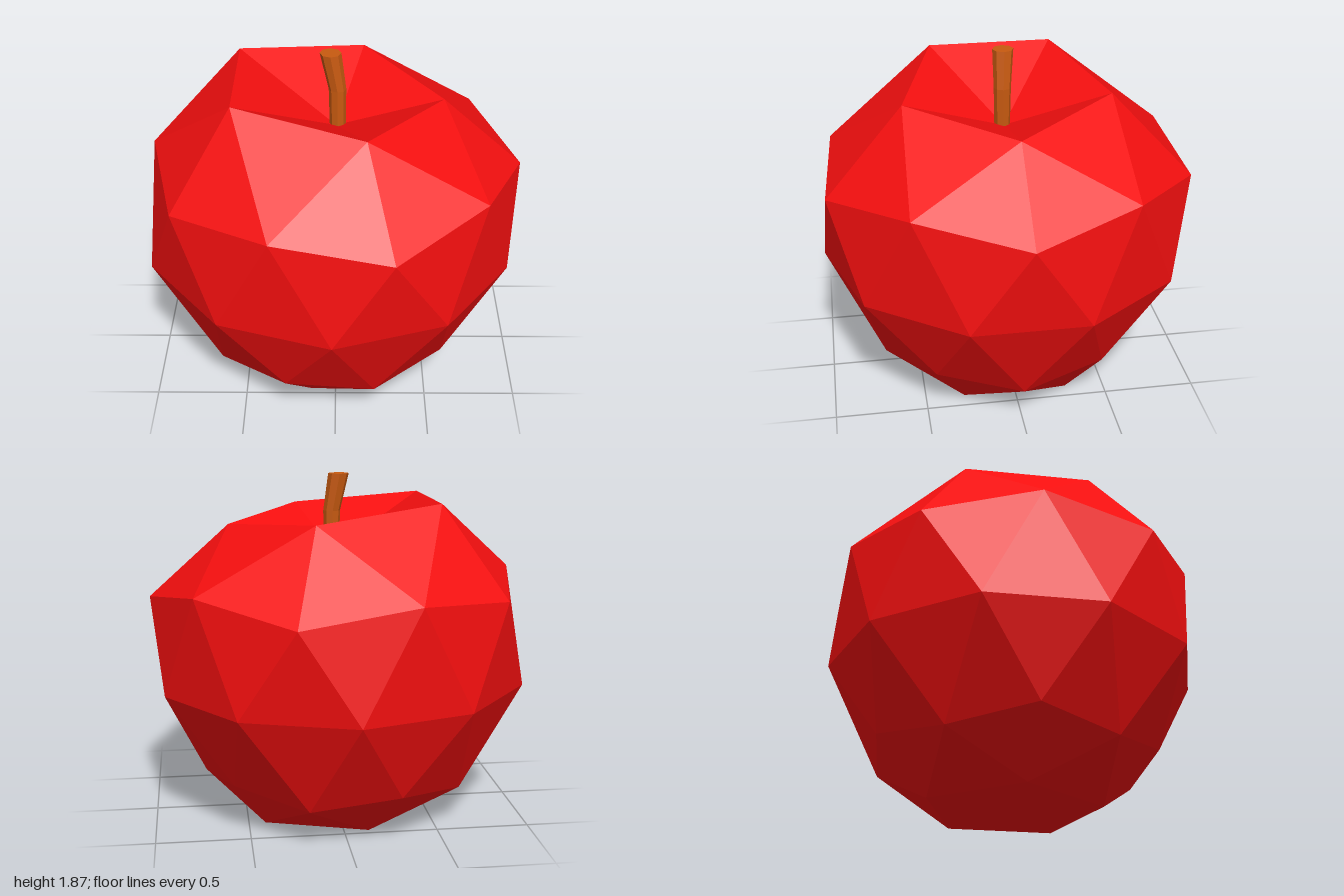
import * as THREE from 'three';

// Completes a ring from its +z half by mirroring across z = 0
const ring = (half) => half.concat(
  half.filter((p) => p[2] !== 0).reverse().map(([x, y, z]) => [x, y, -z]));

// Low-poly fruit: rings of 5, 10, 10, 10, 5 points between two dented poles
function fruitGeometry() {
  const top = [0, 1.45, 0], bottom = [0, 0.12, 0];
  const rim = ring([[0.57, 1.605, 0], [0.155, 1.66, 0.55], [-0.525, 1.735, 0.34]]);
  const upper = ring([[1, 1.22, 0], [0.77, 1.31, 0.57], [0.29, 1.22, 0.97],
    [-0.32, 1.31, 0.925], [-0.83, 1.26, 0.595], [-0.975, 1.35, 0]]);
  const middle = ring([[0.93, 0.74, 0.31], [0.572, 0.74, 0.81], [-0.016, 0.74, 1],
    [-0.605, 0.74, 0.81], [-1, 0.74, 0.31]]);
  const lower = ring([[0.72, 0.22, 0], [0.58, 0.28, 0.45], [0.209, 0.21, 0.7],
    [-0.265, 0.28, 0.735], [-0.63, 0.21, 0.43], [-0.83, 0.28, 0]]);
  const base = ring([[0.41, 0, 0.286], [-0.134, 0, 0.462], [-0.47, 0, 0]]);

  const pos = [];
  const tri = (...corners) => corners.forEach((p) => pos.push(...p));
  const at = (r, i) => r[(i + r.length) % r.length];

  for (let k = 0; k < 5; k++) {
    const r0 = rim[k], r1 = at(rim, k + 1);
    const b0 = base[k], b1 = at(base, k + 1);
    // Hollow and shoulder
    tri(top, r1, r0);
    tri(r0, r1, at(upper, 2 * k + 1));
    tri(r0, at(upper, 2 * k + 1), at(upper, 2 * k));
    tri(r0, at(upper, 2 * k), at(upper, 2 * k - 1));
    // Underside
    tri(b0, at(lower, 2 * k), at(lower, 2 * k + 1));
    tri(b0, at(lower, 2 * k + 1), at(lower, 2 * k + 2));
    tri(b0, at(lower, 2 * k + 2), b1);
    tri(bottom, b0, b1);
  }
  // Zigzag bands above and below the widest ring
  for (let j = 0; j < 10; j++) {
    tri(upper[j], at(upper, j + 1), middle[j]);
    tri(upper[j], middle[j], at(middle, j - 1));
    tri(at(middle, j - 1), middle[j], lower[j]);
    tri(middle[j], at(lower, j + 1), lower[j]);
  }

  const geometry = new THREE.BufferGeometry();
  geometry.setAttribute('position', new THREE.Float32BufferAttribute(pos, 3));
  geometry.computeVertexNormals();
  return geometry;
}

// Stem: eight-sided rod with a slight bend halfway up
function stemGeometry() {
  const sections = [
    { x: 0.01, y: 1.42, z: 0.01, r: 0.042 },
    { x: 0.008, y: 1.67, z: 0.008, r: 0.046 },
    { x: -0.028, y: 1.87, z: 0, r: 0.056 },
  ];
  const geometry = new THREE.CylinderGeometry(1, 1, 2, 8, 2);
  const p = geometry.attributes.position;
  for (let i = 0; i < p.count; i++) {
    const s = sections[Math.round(p.getY(i)) + 1];
    p.setXYZ(i, s.x + p.getX(i) * s.r, s.y, s.z + p.getZ(i) * s.r);
  }
  geometry.computeVertexNormals();
  return geometry;
}

export function createModel() {
  const group = new THREE.Group();
  group.name = 'apple';
  const add = (name, geometry, color) => {
    const mesh = new THREE.Mesh(geometry,
      new THREE.MeshStandardMaterial({ color, flatShading: true }));
    mesh.name = name;
    group.add(mesh);
  };
  add('fruit', fruitGeometry(), 0xf50f0f);
  add('stem', stemGeometry(), 0xc85a10);
  return group;
}
